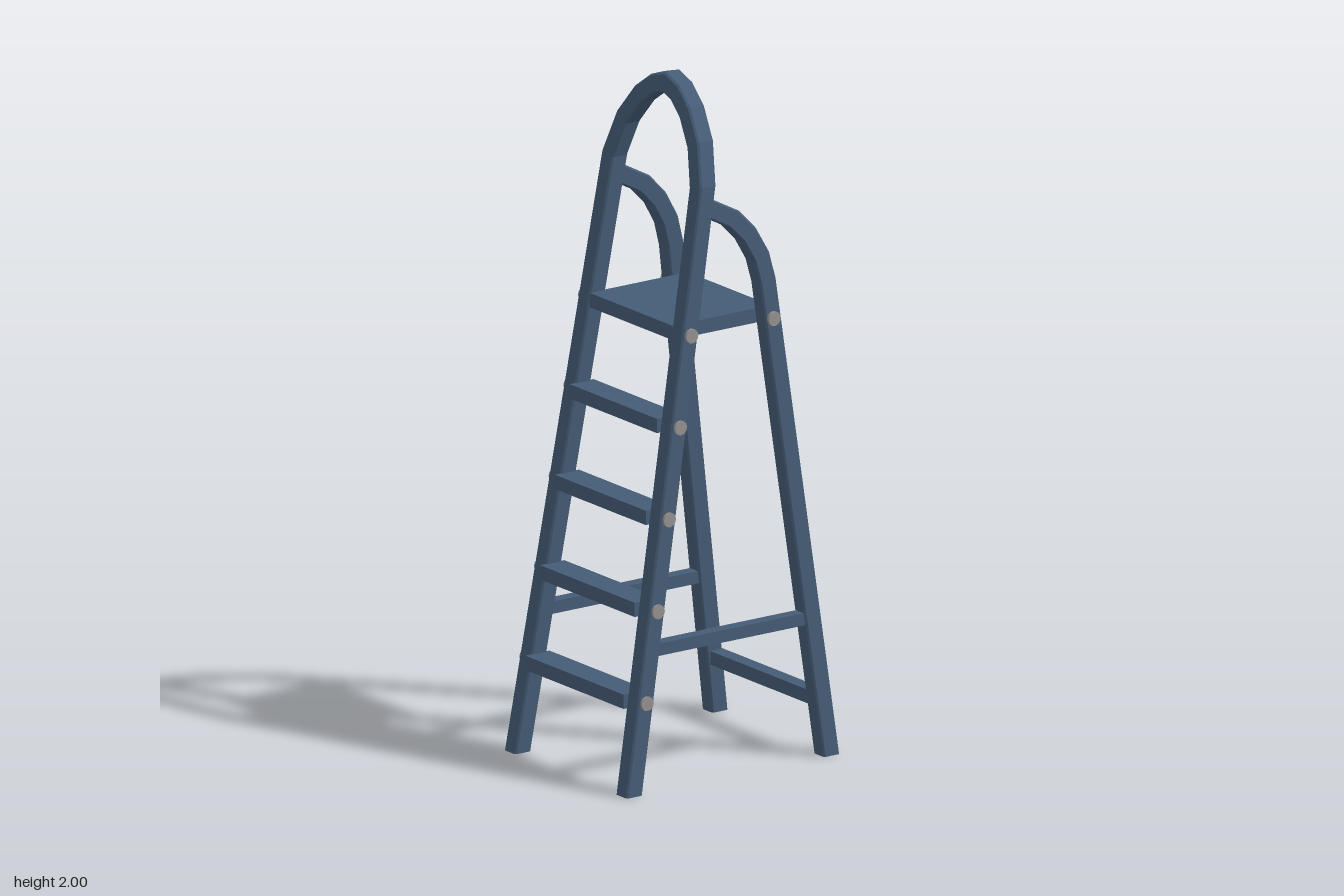
import * as THREE from 'three';

const H = 0.0275; // half thickness of the rails
const railX = (y) => 0.267 - 0.0325 * y; // rails lean inwards
const frontZ = (y) => 0.345 - 0.1725 * y; // front frame leans back
const rearZ = (y) => -0.342 + 0.134 * y; // rear legs lean forward

// Sweeps a chamfered square along a flat path, mitred at each bend.
// Feet (points at height 0) are cut level; place() sets the result in space.
function sweepRail(path, place) {
  const c = H - 0.005;
  const section = [[H, -c], [H, c], [c, H], [-c, H], [-H, c], [-H, -c], [-c, -H], [c, -H]];
  const pts = path.map(([x, y]) => new THREE.Vector2(x, y));
  const normal = (a, b) => {
    const t = b.clone().sub(a).normalize();
    return new THREE.Vector2(-t.y, t.x);
  };
  const last = pts.length - 1;
  const rings = pts.map((p, i) => {
    const n1 = normal(pts[Math.max(i - 1, 0)], pts[Math.max(i, 1)]);
    const n2 = normal(pts[Math.min(i, last - 1)], pts[Math.min(i + 1, last)]);
    const n = n1.clone().add(n2).normalize();
    n.divideScalar(n.dot(n1));
    if (p.y === 0) n.set(Math.sign(n.x), 0);
    return section.map(([a, b]) => place(p.x + n.x * a, p.y + n.y * a, b));
  });
  const verts = [];
  const tri = (...corners) => corners.forEach((v) => verts.push(...v));
  const sides = section.length;
  for (let i = 0; i < last; i++) {
    for (let j = 0; j < sides; j++) {
      const k = (j + 1) % sides;
      tri(rings[i][j], rings[i][k], rings[i + 1][k]);
      tri(rings[i][j], rings[i + 1][k], rings[i + 1][j]);
    }
  }
  for (let j = 1; j < sides - 1; j++) {
    tri(rings[0][0], rings[0][j + 1], rings[0][j]);
    tri(rings[last][0], rings[last][j], rings[last][j + 1]);
  }
  const geo = new THREE.BufferGeometry();
  geo.setAttribute('position', new THREE.Float32BufferAttribute(verts, 3));
  geo.computeVertexNormals();
  return geo;
}

export function createModel() {
  const model = new THREE.Group();
  model.name = 'stepladder';
  const paint = new THREE.MeshStandardMaterial({ color: 0x455c76 });
  paint.name = 'slate blue paint';
  const steel = new THREE.MeshStandardMaterial({ color: 0x969290 });
  steel.name = 'bolt steel';

  const add = (name, geo, mat, x = 0, y = 0, z = 0) => {
    const mesh = new THREE.Mesh(geo, mat);
    mesh.name = name;
    mesh.position.set(x, y, z);
    model.add(mesh);
    return mesh;
  };
  const box = (name, w, h, d, x, y, z) =>
    add(name, new THREE.BoxGeometry(w, h, d), paint, x, y, z);

  // Front frame: two rails joined by an arch
  const half = [[0.267, 0], [0.21, 1.72], [0.172, 1.832], [0.112, 1.912], [0.053, 1.956]];
  const arch = [...half, [0, 1.972], ...half.map(([x, y]) => [-x, y]).reverse()];
  add('frontFrame', sweepRail(arch, (p, q, w) => [p, q, w + frontZ(q)]), paint);

  // Rear legs, bending forward into handrails
  const legPath = [[0.342, 0], [0.155, 1.415], [0.135, 1.49], [0.095, 1.56], [0.042, 1.615], [-0.05, 1.664]];
  for (const s of [-1, 1]) {
    const side = s > 0 ? 'left' : 'right';
    add(`${side}RearLeg`, sweepRail(legPath, (p, q, w) => [w * 0.92 + s * railX(q), q, -p]), paint);
    box(`${side}SideBrace`, 0.038, 0.036, 0.54, s * railX(0.41), 0.41, -0.007);
  }
  box('rearRung', 0.486, 0.04, 0.044, 0, 0.165, rearZ(0.165) - 0.005);

  // Bolts through both rails at one height
  const boltGeo = new THREE.CylinderGeometry(0.021, 0.021, 0.069, 12);
  const bolts = (y, z) => {
    for (const s of [-1, 1]) {
      add('bolt', boltGeo, steel, s * railX(y), y, z).rotation.z = Math.PI / 2;
    }
  };

  // Treads
  for (let i = 0; i < 4; i++) {
    const y = 0.265 + i * 0.26;
    box('tread', 2 * (railX(y) - H + 0.004), 0.042, 0.084, 0, y, frontZ(y));
    bolts(y, frontZ(y));
  }

  // Platform
  const top = 1.305;
  box('platform', 2 * (railX(top) - H + 0.002), 0.042, 0.342, 0, top, -0.026);
  bolts(top, frontZ(top));
  bolts(top, rearZ(top));

  return model;
}
